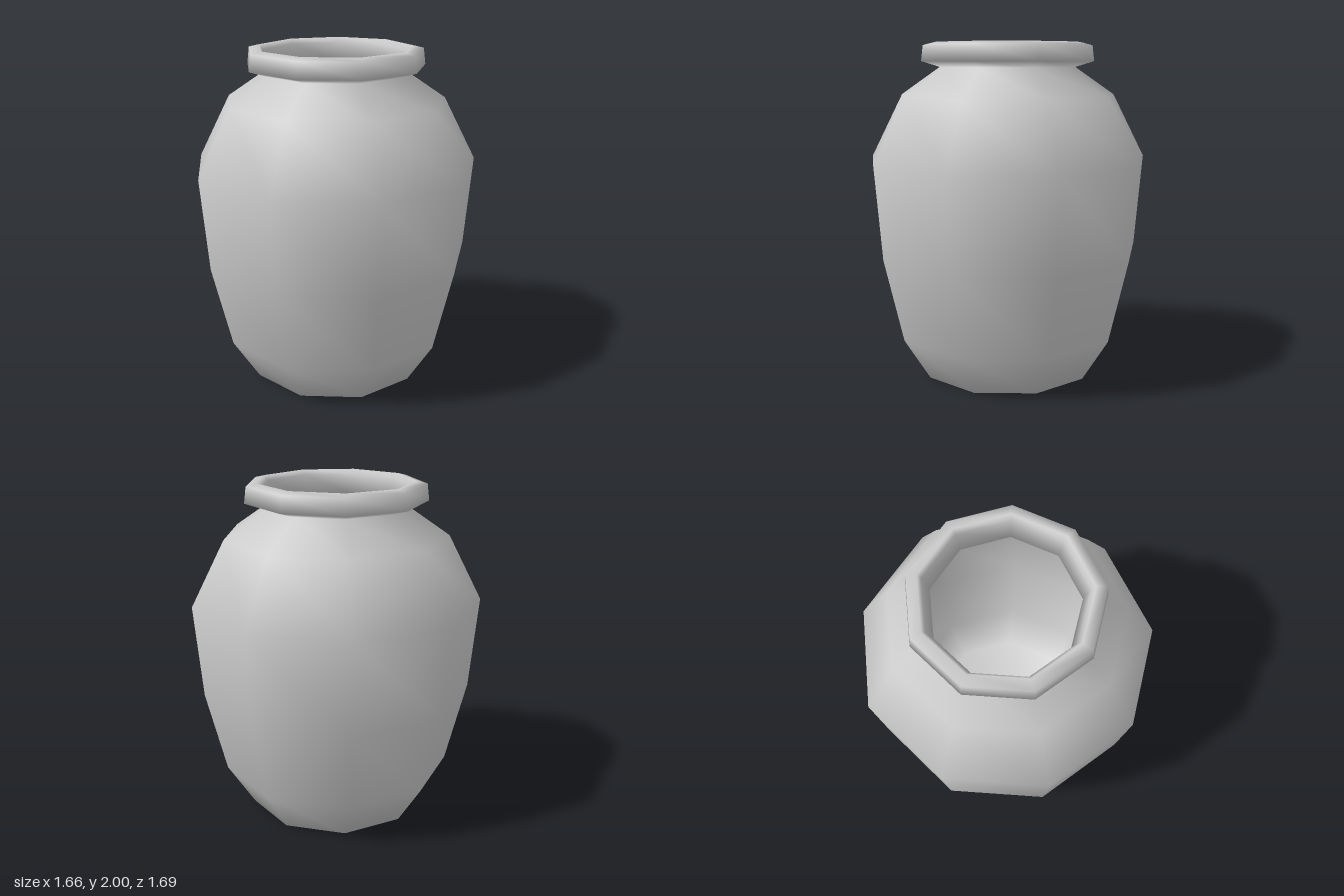
import * as THREE from 'three';

export function createModel() {
  const group = new THREE.Group();
  const material = new THREE.MeshStandardMaterial({ color: 0xcccccc });

  // One closed profile as [radius, height], turned into a nine-sided jar
  const profile = [
    // base and outer wall
    [0, 0], [0.53, 0], [0.693, 0.26], [0.812, 0.76], [0.858, 1.31], [0.66, 1.69], [0.418, 1.855],
    // rolled rim
    [0.535, 1.89], [0.523, 1.985], [0.46, 2], [0.44, 1.97],
    // inner wall and floor
    [0.405, 1.855], [0.63, 1.67], [0.825, 1.3], [0.78, 0.76], [0.66, 0.28], [0.51, 0.04], [0, 0.04],
  ].map(([r, y]) => new THREE.Vector2(r, y));

  // A corner points to +x, so the axis is shifted to centre the bounds
  const jar = new THREE.Mesh(new THREE.LatheGeometry(profile, 9, Math.PI / 2), material);
  jar.name = 'jar';
  jar.position.x = -0.026;
  group.add(jar);
  return group;
}
